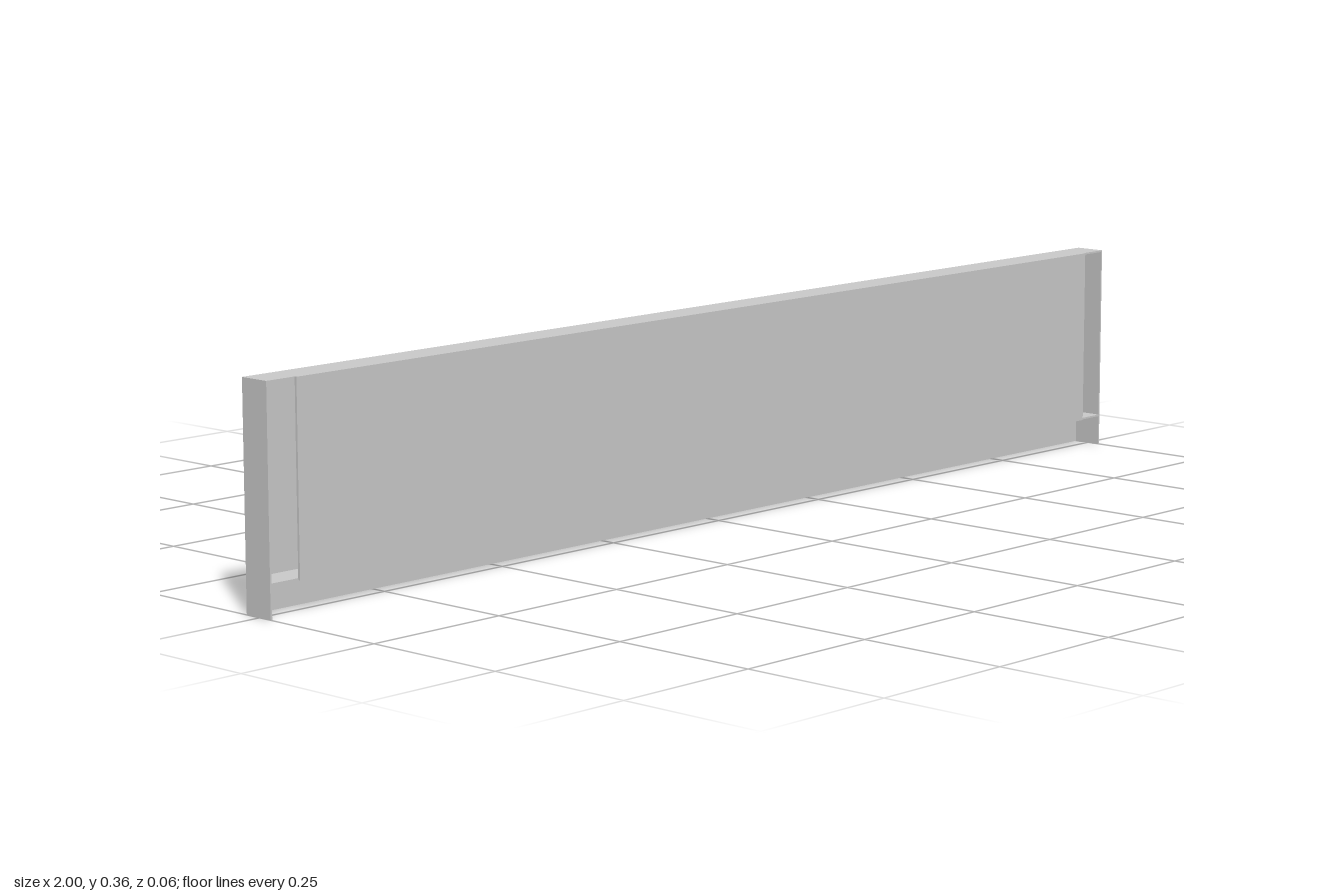
import * as THREE from 'three';

const HEIGHT = 0.358, BACK = -0.029, RIM = 0.025, FRONT = 0.029;
const SHEET = 0.003; // sheet thickness
const SHELF_TOP = 0.055, PANEL_HALF = 0.945;

export function createModel() {
  const group = new THREE.Group();
  const material = new THREE.MeshStandardMaterial({ color: 0xcccccc, flatShading: true });

  // Box given by its extents along each axis
  const slab = (name, [x0, x1], [y0, y1], [z0, z1]) => {
    const mesh = new THREE.Mesh(new THREE.BoxGeometry(x1 - x0, y1 - y0, z1 - z0), material);
    mesh.position.set((x0 + x1) / 2, (y0 + y1) / 2, (z0 + z1) / 2);
    mesh.name = name;
    group.add(mesh);
  };

  const inside = [-1 + SHEET, 1 - SHEET];

  // Folded tray: back, top and two end walls, open underneath
  slab('backPanel', inside, [0, HEIGHT - SHEET], [BACK, BACK + SHEET]);
  slab('topPanel', inside, [HEIGHT - SHEET, HEIGHT], [BACK, RIM]);
  slab('leftEndWall', [1 - SHEET, 1], [0, HEIGHT], [BACK, RIM]);
  slab('rightEndWall', [-1, -1 + SHEET], [0, HEIGHT], [BACK, RIM]);

  // Shelf that carries the lower edge of the front panel
  slab('lowerShelf', inside, [SHELF_TOP - SHEET, SHELF_TOP], [BACK + SHEET, RIM]);

  // Front panel standing proud of the rim, with a gap at each end
  slab('frontPanel', [-PANEL_HALF, PANEL_HALF], [SHELF_TOP - SHEET, HEIGHT], [RIM, FRONT]);

  return group;
}
